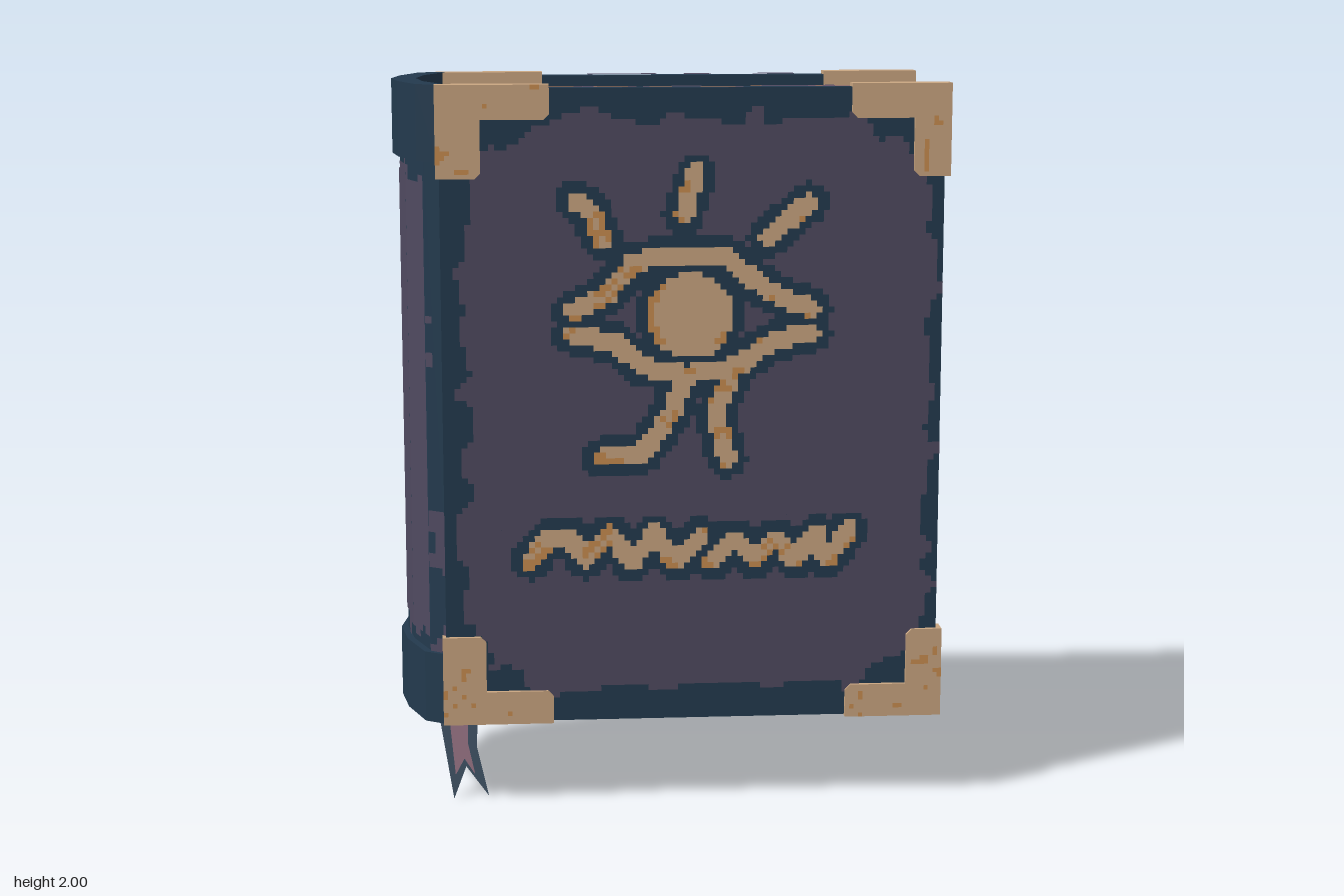
import * as THREE from 'three';

const mat = (name, color) => new THREE.MeshStandardMaterial({ name, color });
const M = {
  navy: mat('navyLeather', 0x233a4e),
  purple: mat('purpleLeather', 0x504a60),
  tan: mat('paleTan', 0xcaa681),
  orange: mat('orangePaper', 0xc98d50),
  clay: mat('clayPaper', 0xc0805a),
  mauve: mat('mauve', 0x805d6e),
};
const ribbonMats = { navy: M.navy.clone(), mauve: M.mauve.clone() };
for (const k in ribbonMats) ribbonMats[k].side = THREE.DoubleSide;

// Smooth value noise in 0..1
const hash = (x, y) => {
  const s = Math.sin(x * 127.1 + y * 311.7) * 43758.5453;
  return s - Math.floor(s);
};
function noise(x, y) {
  const i = Math.floor(x), j = Math.floor(y), f = x - i, g = y - j;
  const a = f * f * (3 - 2 * f), b = g * g * (3 - 2 * g);
  const mix = (p, q, t) => p + (q - p) * t;
  return mix(mix(hash(i, j), hash(i + 1, j), a), mix(hash(i, j + 1), hash(i + 1, j + 1), a), b);
}

function add(group, name, geometry, material) {
  const mesh = new THREE.Mesh(geometry, material);
  mesh.name = name;
  group.add(mesh);
  return mesh;
}

function box(group, name, x0, x1, y0, y1, z0, z1, material) {
  const g = new THREE.BoxGeometry(x1 - x0, y1 - y0, z1 - z0);
  add(group, name, g.translate((x0 + x1) / 2, (y0 + y1) / 2, (z0 + z1) / 2), material);
}

// Paints a flat face with small square cells; pick(u, v) names the colour or gives null
function paint(group, name, origin, U, V, cell, pick) {
  const o = new THREE.Vector3(...origin), u = new THREE.Vector3(...U), v = new THREE.Vector3(...V);
  const lu = u.length(), lv = v.length();
  u.normalize();
  v.normalize();
  const n = u.clone().cross(v);
  o.addScaledVector(n, 0.003);
  const nu = Math.max(1, Math.round(lu / cell)), nv = Math.max(1, Math.round(lv / cell));
  const du = lu / nu, dv = lv / nv, sets = {};
  const at = (a, b) => o.clone().addScaledVector(u, a * du).addScaledVector(v, b * dv).toArray();
  for (let j = 0; j < nv; j++) {
    let start = 0, current = null;
    for (let i = 0; i <= nu; i++) {
      const c = i < nu ? pick((i + 0.5) * du, (j + 0.5) * dv) : null;
      if (c === current) continue;
      if (current) {
        const p = at(start, j), q = at(i, j), r = at(i, j + 1), s = at(start, j + 1);
        (sets[current] ??= []).push(...p, ...q, ...r, ...p, ...r, ...s);
      }
      start = i;
      current = c;
    }
  }
  for (const key in sets) {
    const g = new THREE.BufferGeometry();
    g.setAttribute('position', new THREE.Float32BufferAttribute(sets[key], 3));
    g.computeVertexNormals();
    add(group, name, g, M[key]);
  }
}

// Upright prism from an (x, z) outline that is symmetric in z
function prism(group, name, points, y0, y1, material) {
  const shape = new THREE.Shape(points.map(([x, z]) => new THREE.Vector2(x, -z)));
  const g = new THREE.ExtrudeGeometry(shape, { depth: y1 - y0, bevelEnabled: false });
  add(group, name, g.rotateX(-Math.PI / 2).translate(0, y0, 0), material);
}
const mirrorZ = half => [...half, ...half.slice(0, -1).reverse().map(([x, z]) => [x, -z])];

// Cover emblem as strokes: eye lids, rays, legs and a zigzag ornament
const strokes = [
  [-.27, 1.39, -.18, 1.43, -.1, 1.525, .02, 1.54, .15, 1.53, .26, 1.44, .38, 1.39],
  [-.27, 1.325, -.15, 1.3, -.08, 1.235, .04, 1.21, .18, 1.235, .27, 1.3, .38, 1.325],
  [-.26, 1.69, -.22, 1.66, -.19, 1.585], [.065, 1.76, .03, 1.65], [.37, 1.68, .26, 1.585],
  [.03, 1.2, 0, 1.11, -.08, .995, -.19, .985], [.16, 1.21, .12, 1.1, .15, .98],
  [-.39, .7, -.34, .76, -.28, .76, -.24, .7, -.17, .77, -.11, .69, -.05, .77, .01, .69, .08, .76],
  [.11, .69, .17, .75, .23, .69, .29, .75, .34, .69, .4, .76, .43, .69, .49, .77],
];
function emblemDistance(x, y) {
  let best = 9;
  for (const s of strokes) {
    for (let i = 0; i + 3 < s.length; i += 2) {
      const dx = s[i + 2] - s[i], dy = s[i + 3] - s[i + 1];
      const t = Math.min(1, Math.max(0, ((x - s[i]) * dx + (y - s[i + 1]) * dy) / (dx * dx + dy * dy)));
      best = Math.min(best, Math.hypot(x - s[i] - t * dx, y - s[i + 1] - t * dy) - 0.026);
    }
  }
  return Math.min(best, Math.hypot(x - 0.05, y - 1.375) - 0.118);
}

// Worn purple field with a ragged navy rim
function leather(x, y) {
  const r = 0.28, a = Math.abs(x - 0.07) - 0.635 + r, b = Math.abs(y - 1.115) - 0.795 + r;
  const d = Math.hypot(Math.max(a, 0), Math.max(b, 0)) + Math.min(Math.max(a, b), 0) - r;
  return d < (noise(x * 18 + 40, y * 18) - 0.5) * 0.07 ? 'purple' : null;
}
function frontPaint(x, y) {
  const d = emblemDistance(x, y);
  if (d < 0) return d > -0.02 && noise(x * 22, y * 22) > 0.68 ? 'orange' : 'tan';
  return d < 0.03 ? null : leather(x, y);
}

// Streaked paper: a runs along the streaks, b across; e is the distance to the edge
function paper(a, b, e) {
  if (e < 0.035 && noise(a * 20 + 7, b * 20) > 0.68) return 'mauve';
  if (e < 0.03 + 0.06 * noise(a * 14, b * 14 + 30)) return 'clay';
  return e > 0.07 && noise(a * 3.2 + 11, b * 26) > 0.52 ? 'tan' : null;
}

export function createModel() {
  const book = new THREE.Group();
  book.name = 'book';

  // Page block with a rounded spine side
  const pages = new THREE.Group();
  pages.name = 'pages';
  book.add(pages);
  const back = mirrorZ([[-.61, -.27], [-.655, -.135], [-.678, 0]]);
  prism(pages, 'pageBlock', [...back, [.7, .27], [.7, -.27]], 0.28, 1.955, M.orange);
  paint(pages, 'foreEdge', [.7, .28, .27], [0, 0, -.54], [0, 1.675, 0], 0.02, (u, v) =>
    paper(v, u, Math.min(u, .54 - u, v * 0.8, (1.675 - v) * 0.6)));
  for (const s of [1, -1]) {
    paint(pages, s > 0 ? 'topEdge' : 'bottomEdge', [-.68, s > 0 ? 1.955 : .28, s * .27],
      [1.38, 0, 0], [0, 0, -s * .54], 0.02, (u, v) => {
        const left = 0.075 * Math.pow((v - .27) / .27, 2);
        return u < left ? null : paper(u, v, Math.min(u - left, (1.38 - u) * 0.6, v, .54 - v));
      });
  }

  // Front and back covers
  for (const s of [1, -1]) {
    const cover = new THREE.Group();
    cover.name = s > 0 ? 'frontCover' : 'backCover';
    book.add(cover);
    box(cover, 'board', -.625, .74, .24, 1.99, s > 0 ? .27 : -.31, s > 0 ? .31 : -.27, M.navy);
    paint(cover, 'coverPaint', [s > 0 ? -.625 : .74, .24, s * .31], [s * 1.365, 0, 0], [0, 1.75, 0], 0.0165,
      (u, v) => s > 0 ? frontPaint(u - .625, v + .24) : leather(.74 - u, v + .24));
    for (const t of [1, -1]) {
      paint(cover, 'edgeWear', [-.32, t > 0 ? 1.99 : .24, s * .29 + t * .02], [.8, 0, 0], [0, 0, -t * .04], 0.04,
        u => noise(u * 11 + s * 5, 3) > 0.55 ? 'purple' : null);
    }

    // L-shaped corner guards
    for (const side of [1, -1]) for (const up of [1, -1]) {
      const corner = new THREE.Group();
      corner.name = 'cornerGuard';
      book.add(corner);
      const ox = side > 0 ? .755 : -.635, oy = up > 0 ? 2 : .235;
      const w = side > 0 ? .27 : .305, a = side > 0 ? .1 : .12, h = .25, b = .093, c = .015;
      const outline = [[0, 0], [w, 0], [w, b - c], [w - c, b], [a, b], [a, h - c], [a - c, h], [0, h]];
      const shape = new THREE.Shape(outline.map(([x, y]) => new THREE.Vector2(ox - side * x, oy - up * y)));
      const g = new THREE.ExtrudeGeometry(shape, { depth: .056, bevelEnabled: false });
      add(corner, 'guard', g.translate(0, 0, s > 0 ? .266 : -.322), M.tan);
      const x0 = side > 0 ? ox - w : ox, y0 = up > 0 ? oy - h : oy;
      paint(corner, 'rustSpecks', [s > 0 ? x0 : x0 + w, y0, s * .322], [s * w, 0, 0], [0, h, 0], 0.0125, (u, v) => {
        const x = (s > 0 ? u : w - u) + x0, y = v + y0;
        const p = Math.abs(x - ox), q = Math.abs(y - oy);
        const inside = (p < a - c && q < h - c) || (q < b - c && p < w - c);
        return inside && noise(x * 38, y * 38) > 0.84 ? 'orange' : null;
      });
    }
  }

  // Faceted spine: two raised end bands and a slimmer middle
  const spine = new THREE.Group();
  spine.name = 'spine';
  book.add(spine);
  const inner = mirrorZ([[-.61, -.28], [-.667, -.14], [-.687, 0]]).reverse();
  const band = mirrorZ([[-.63, -.305], [-.685, -.27], [-.735, -.13], [-.755, 0]]);
  const middle = mirrorZ([[-.613, -.3], [-.667, -.262], [-.715, -.13], [-.735, 0]]);
  prism(spine, 'topBand', [...band, ...inner], 1.795, 2, M.navy);
  prism(spine, 'bottomBand', [...band, ...inner], .235, .435, M.navy);
  prism(spine, 'spineMiddle', [...middle, ...inner], .42, 1.81, M.navy);
  for (let i = 0; i + 1 < middle.length; i++) {
    const [x0, z0] = middle[i], [x1, z1] = middle[i + 1];
    const rim = i === 0 || i === middle.length - 2;
    paint(spine, 'spinePaint', [x0, .435, z0], [x1 - x0, 0, z1 - z0], [0, 1.36, 0], 0.02, (u, v) => {
      const n = noise((u + i * .14) * 20, v * 16);
      if (rim) return n > 0.72 ? 'purple' : null;
      return Math.min(v, 1.36 - v) > 0.07 * n ? 'purple' : null;
    });
  }

  // Forked ribbon hanging forward under the spine
  const ribbon = new THREE.Group();
  ribbon.name = 'ribbon';
  book.add(ribbon);
  const strip = (name, pts, lift, material) => {
    const g = new THREE.ShapeGeometry(new THREE.Shape(pts.map(p => new THREE.Vector2(...p))));
    const p = g.attributes.position;
    for (let i = 0; i < p.count; i++) p.setZ(i, .25 - .54 * (p.getY(i) - .01) + lift);
    g.computeVertexNormals();
    add(ribbon, name, g, material);
  };
  strip('ribbonCloth', [[-.665, .29], [-.61, 0], [-.575, .08], [-.512, .005], [-.545, .13], [-.535, .29]], 0, ribbonMats.navy);
  for (const lift of [.003, -.003]) {
    strip('ribbonStripe', [[-.63, .28], [-.605, .06], [-.58, .1], [-.55, .06], [-.57, .14], [-.565, .28]], lift, ribbonMats.mauve);
  }
  return book;
}
